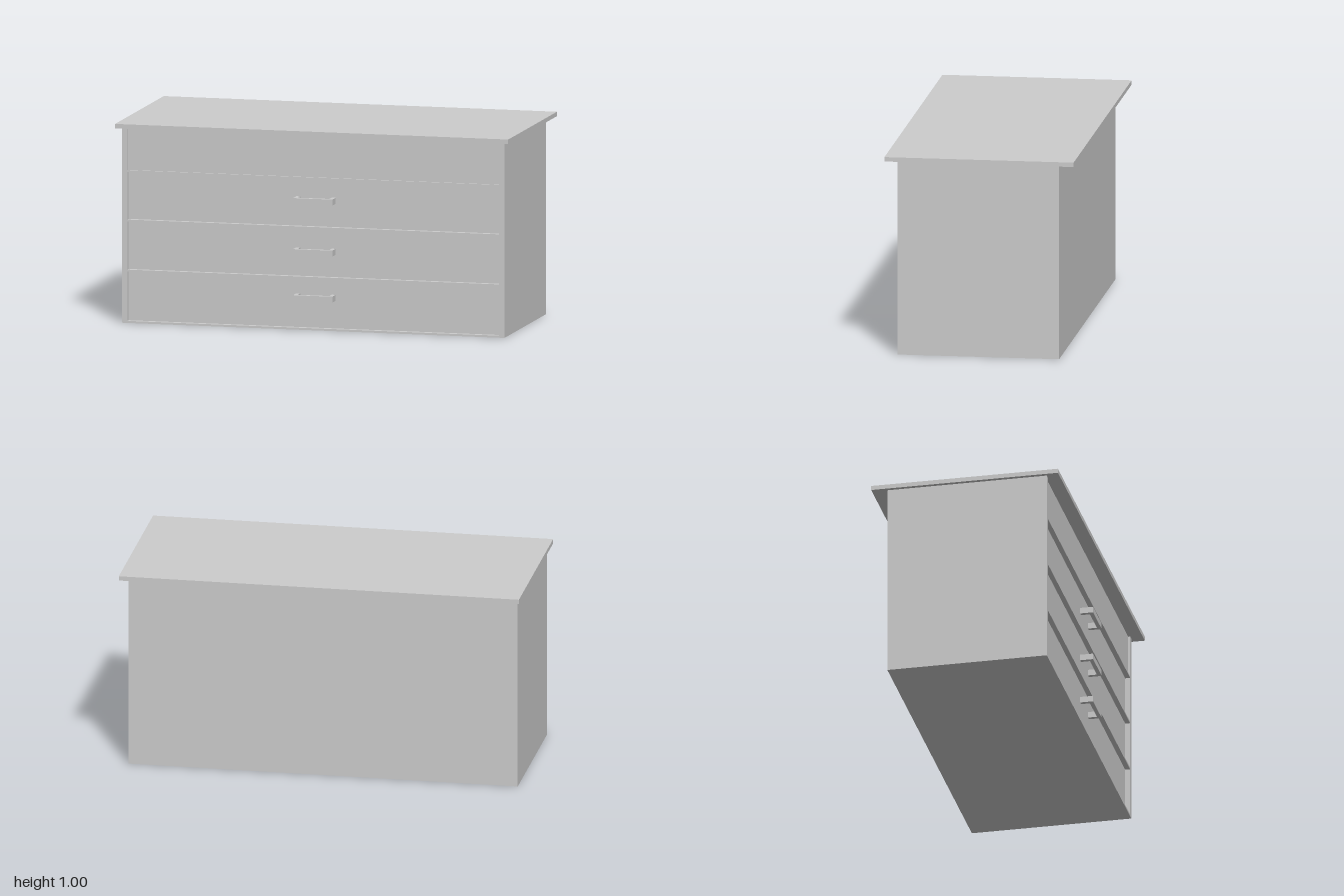
import * as THREE from 'three';

const material = new THREE.MeshStandardMaterial({ color: 0xcccccc, flatShading: true });

// Box given by its low and high limits on each axis
function board(name, [x0, x1], [y0, y1], [z0, z1]) {
  const mesh = new THREE.Mesh(new THREE.BoxGeometry(x1 - x0, y1 - y0, z1 - z0), material);
  mesh.name = name;
  mesh.position.set((x0 + x1) / 2, (y0 + y1) / 2, (z0 + z1) / 2);
  return mesh;
}

// U-shaped pull: a bar on two end posts, lying flat and pointing forward
function makeHandle(y, zBack, zFront) {
  const w = 0.1, t = 0.02, d = zFront - zBack, h = 0.03;
  const shape = new THREE.Shape([
    [-w, 0], [-w + t, 0], [-w + t, -d + t], [w - t, -d + t],
    [w - t, 0], [w, 0], [w, -d], [-w, -d],
  ].map(([a, b]) => new THREE.Vector2(a, b)));
  const geometry = new THREE.ExtrudeGeometry(shape, { depth: h, bevelEnabled: false });
  geometry.rotateX(-Math.PI / 2);
  const mesh = new THREE.Mesh(geometry, material);
  mesh.name = 'drawerHandle';
  mesh.position.set(0, y - h / 2, zBack);
  return mesh;
}

export function createModel() {
  const group = new THREE.Group();
  group.name = 'chestOfDrawers';

  const left = 0.965, right = -0.98, inner = [-0.953, 0.938];
  const back = -0.393, front = 0.41, recessed = 0.385, top = 0.975;

  // Carcass
  group.add(
    board('topBoard', [-1, 1], [top, 0.997], [-0.47, 0.47]),
    board('rightSide', [right, inner[0]], [0, top], [back, front]),
    board('leftSide', [inner[1], left], [0, top], [back, front]),
    board('backPanel', inner, [0, top], [back, back + 0.02]),
    board('bottomBoard', inner, [0, 0.01], [back + 0.02, front]),
  );

  // Dividers between the drawers
  const dividers = [[0.255, 0.265], [0.505, 0.514], [0.751, 0.76]];
  for (const y of dividers) group.add(board('divider', inner, y, [back + 0.02, front]));

  // Fixed panel under the top
  group.add(board('upperPanel', inner, [0.76, top], [recessed - 0.02, front - 0.01]));

  // Recessed drawer fronts with their handles
  const drawers = [
    { y: [0.01, 0.255], handle: 0.162 },
    { y: [0.265, 0.505], handle: 0.391 },
    { y: [0.514, 0.751], handle: 0.645 },
  ];
  for (const { y, handle } of drawers) {
    group.add(board('drawerFront', inner, y, [recessed - 0.02, recessed]));
    group.add(makeHandle(handle, recessed, 0.45));
  }
  return group;
}
